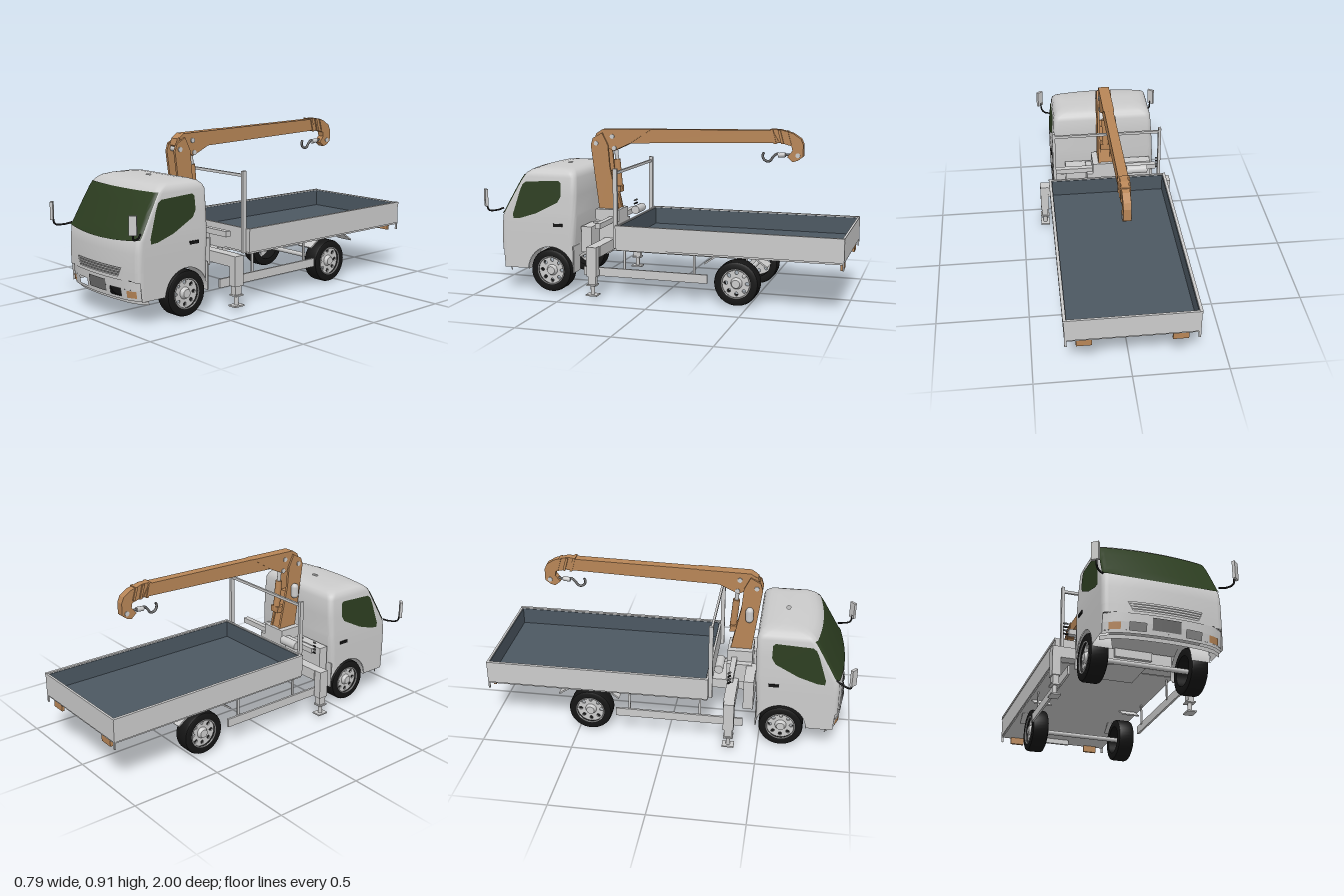
import * as THREE from 'three';
import { toCreasedNormals } from 'three/addons/utils/BufferGeometryUtils.js';

const paint = (color) => new THREE.MeshStandardMaterial({ color, side: THREE.DoubleSide });
const grey = paint(0xcccccc), glass = paint(0x2c3d20), orange = paint(0xb88657);
const black = paint(0x151515), slate = paint(0x4c5862), dark = paint(0x6a6a6a);

export function createModel() {
  const root = new THREE.Group();
  const add = (name, geo, mat = grey, parent = root) => {
    const m = new THREE.Mesh(geo, mat);
    m.name = name;
    parent.add(m);
    return m;
  };
  // box given by its extents
  const box = (name, x0, x1, y0, y1, z0, z1, mat) =>
    add(name, new THREE.BoxGeometry(x1 - x0, y1 - y0, z1 - z0)
      .translate((x0 + x1) / 2, (y0 + y1) / 2, (z0 + z1) / 2), mat);
  const pair = (f) => [-1, 1].forEach(f);
  const boxes = (name, x0, x1, y0, y1, z0, z1, mat) =>
    pair((s) => box(name, Math.min(s * x0, s * x1), Math.max(s * x0, s * x1), y0, y1, z0, z1, mat));
  // side outline (z, y) extruded across x
  const plate = (name, pts, x0, x1, mat) => add(name,
    new THREE.ExtrudeGeometry(new THREE.Shape(pts.map((p) => new THREE.Vector2(...p))),
      { depth: x1 - x0, bevelEnabled: false }).rotateY(-Math.PI / 2).translate(x1, 0, 0), mat);
  const tube = (name, pts, r, mat, n = 20) => add(name, new THREE.TubeGeometry(
    new THREE.CatmullRomCurve3(pts.map((p) => new THREE.Vector3(...p))), n, r, 8), mat);
  const rod = (name, a, b, r, mat) => {
    const A = new THREE.Vector3(...a), B = new THREE.Vector3(...b), d = B.clone().sub(A);
    const m = add(name, new THREE.CylinderGeometry(r, r, d.length(), 16), mat);
    m.position.copy(A).add(B).multiplyScalar(0.5);
    m.quaternion.setFromUnitVectors(new THREE.Vector3(0, 1, 0), d.normalize());
    return m;
  };
  // surface through rows of points
  const loft = (rows, closed) => {
    const n = rows[0].length, idx = [];
    for (let j = 0; j < rows.length - 1; j++) {
      for (let i = 0; i < (closed ? n : n - 1); i++) {
        const a = j * n + i, b = j * n + (i + 1) % n;
        idx.push(a, b, b + n, a, b + n, a + n);
      }
    }
    const g = new THREE.BufferGeometry();
    g.setAttribute('position', new THREE.Float32BufferAttribute(rows.flat(2), 3));
    g.setIndex(idx);
    return toCreasedNormals(g, 0.7);
  };

  // cab sections: height, half width, front z, back z, corner radius
  const sections = [
    [0.27, 0.305, 0.945, 0.482, 0.03], [0.36, 0.305, 0.944, 0.475, 0.03],
    [0.42, 0.303, 0.938, 0.472, 0.03], [0.44, 0.302, 0.928, 0.472, 0.03],
    [0.54, 0.295, 0.872, 0.47, 0.03], [0.64, 0.287, 0.814, 0.472, 0.03],
    [0.662, 0.28, 0.794, 0.48, 0.035], [0.677, 0.265, 0.77, 0.493, 0.04],
    [0.686, 0.24, 0.735, 0.515, 0.05], [0.691, 0.19, 0.68, 0.56, 0.05], [0.692, 0.02, 0.63, 0.61, 0.008]];
  const sectionAt = (y) => {
    let k = 0;
    while (k < sections.length - 2 && sections[k + 1][0] < y) k++;
    const a = sections[k], b = sections[k + 1], t = (y - a[0]) / (b[0] - a[0]);
    return a.map((v, i) => v + (b[i] - v) * t);
  };
  const halfRing = (y) => {
    const [, w, zf, zb, r] = sectionAt(y), bow = Math.min(0.03, w * 0.1), p = [];
    for (let i = 0; i <= 10; i++) {
      const x = (w - r) * i / 10;
      p.push([x, y, zf - bow * (x / w) ** 2]);
    }
    const zc = p[10][2] - r;
    for (let i = 1; i <= 6; i++) {
      const a = i * Math.PI / 12;
      p.push([w - r + r * Math.sin(a), y, zc + r * Math.cos(a)]);
    }
    for (let i = 1; i <= 60; i++) p.push([w, y, zc + (zb + r - zc) * i / 60]);
    for (let i = 1; i <= 6; i++) {
      const a = i * Math.PI / 12;
      p.push([w - r + r * Math.cos(a), y, zb + r - r * Math.sin(a)]);
    }
    p.push([0, y, zb]);
    return p;
  };
  const mirror = (p) => [...p.slice(1).reverse().map(([x, y, z]) => [-x, y, z]), ...p];
  const ring = (y) => mirror(halfRing(y)).slice(1);
  add('cabShell', loft(sections.map((s) => ring(s[0])), true));

  // skirt with wheel arch cut out by height
  const skirtLow = (z) => {
    const d = Math.abs(z - 0.62);
    if (z > 0.905) return 0.222;
    if (d < 0.135) return 0.12 + Math.sqrt(0.135 ** 2 - d * d);
    return z > 0.62 ? 0.125 : 0.2;
  };
  const top = ring(0.27);
  add('cabSkirt', loft([top.map(([x, , z]) => [x, skirtLow(z), z]), top], true));
  box('cabFloor', -0.29, 0.29, 0.255, 0.27, 0.49, 0.9);
  pair((s) => {
    add('wheelArchLiner', new THREE.CylinderGeometry(0.135, 0.135, 0.1, 24, 1, true, 0, Math.PI)
      .rotateZ(Math.PI / 2).translate(s * 0.253, 0.12, 0.62));
    add('mudFlap', new THREE.BoxGeometry(0.09, 0.15, 0.006)).position.set(s * 0.26, 0.19, 0.483);
  });

  // windscreen and side windows follow the cab surface
  const screen = [];
  for (let i = 0; i <= 8; i++) {
    screen.push(mirror(halfRing(0.413 + 0.235 * i / 8).slice(0, 15).map(([x, y, z]) =>
      [x * 1.008, y + (i < 1 ? 0.018 * (x / 0.3) ** 2 : 0), z + 0.004])));
  }
  add('windscreen', loft(screen), glass);
  const pane = [[0.84, 0.405], [0.843, 0.43], [0.8, 0.565], [0.785, 0.598], [0.765, 0.613], [0.57, 0.623],
    [0.557, 0.61], [0.555, 0.54], [0.575, 0.505], [0.7, 0.44], [0.8, 0.408]];
  pair((s) => {
    const g = new THREE.ShapeGeometry(new THREE.Shape(pane.map((p) => new THREE.Vector2(...p))));
    const p = g.attributes.position;
    for (let i = 0; i < p.count; i++) {
      const z = p.getX(i), y = p.getY(i);
      p.setXYZ(i, s * (sectionAt(y)[1] + 0.003), y, z);
    }
    g.computeVertexNormals();
    add('sideWindow', g, glass);
    add('doorHandle', new THREE.BoxGeometry(0.008, 0.016, 0.055), black).position.set(s * 0.306, 0.378, 0.572);
  });

  // front trim: patches bent along the nose
  const noseZ = (x) => 0.951 - 0.03 * (x / 0.3) ** 2 - 0.03 * (x / 0.3) ** 8;
  const patch = (name, x0, x1, y0, y1, off = 0, mat = grey, x2 = x0, x3 = x1) => {
    const rows = [[y0, x0, x1], [y1, x2, x3]].map(([y, a, b]) => Array.from({ length: 17 }, (_, i) => {
      const x = a + (b - a) * i / 16;
      return [x, y, noseZ(x) + off - Math.max(0, 0.2 - y) * 0.15];
    }));
    add(name, loft(rows), mat);
  };
  patch('bumperTop', -0.303, 0.303, 0.18, 0.225);
  patch('bumperBottom', -0.303, 0.303, 0.125, 0.14, 0, grey);
  patch('bumperCentre', -0.1, 0.1, 0.14, 0.18);
  patch('bumperLip', -0.303, 0.303, 0.105, 0.125, -0.02);
  patch('numberPlate', -0.072, 0.072, 0.148, 0.21, 0.004, dark);
  patch('grilleBack', -0.165, 0.165, 0.236, 0.286, -0.003, dark, -0.19, 0.19);
  for (let i = 0; i < 4; i++) {
    const w = 0.167 + i * 0.006, y = 0.238 + i * 0.013;
    patch('grilleSlat', -w, w, y, y + 0.008, 0.002, grey);
  }
  pair((s) => {
    const span = (a, b) => (s > 0 ? [a, b] : [-b, -a]);
    patch('bumperSide', ...span(0.18, 0.303), 0.14, 0.18);
    patch('foglamp', ...span(0.222, 0.275), 0.14, 0.175, 0.004, orange);
    patch('bumperSeam', ...span(0.24, 0.303), 0.224, 0.229, 0.003, black);
    // mirrors: the right one hangs lower
    const dy = s > 0 ? 0.025 : 0, dx = s > 0 ? -0.008 : 0;
    tube('mirrorArm', [[s * 0.3, 0.435 + dy, 0.9], [s * 0.325, 0.425 + dy, 0.93],
      [s * (0.352 + dx), 0.427 + dy, 0.97], [s * (0.357 + dx), 0.47 + dy, 0.98]], 0.005, black);
    const m = add('mirror', new THREE.BoxGeometry(0.038, 0.095, 0.015));
    m.position.set(s * (0.362 + dx), 0.498 + dy, 0.98);
    m.rotation.y = s * 0.7;
  });

  // wheels
  const v2 = (a) => a.map((p) => new THREE.Vector2(...p));
  const tyre = toCreasedNormals(new THREE.LatheGeometry(v2([[0.078, -0.045], [0.105, -0.047], [0.116, -0.042],
    [0.12, -0.032], [0.12, 0.032], [0.116, 0.042], [0.105, 0.047], [0.078, 0.045], [0.078, -0.045]]), 40), 0.6);
  const disc = new THREE.Shape().absarc(0, 0, 0.079, 0, Math.PI * 2);
  for (let i = 0; i < 8; i++) {
    const a = i * Math.PI / 4;
    disc.holes.push(new THREE.Path().absellipse(0.058 * Math.cos(a), 0.058 * Math.sin(a), 0.011, 0.009, 0, Math.PI * 2, true, a));
  }
  const rim = new THREE.ExtrudeGeometry(disc, { depth: 0.008, bevelEnabled: false, curveSegments: 20 });
  [[0.62, 0.258], [-0.435, 0.258]].forEach(([z, x]) => {
    pair((s) => {
      const w = new THREE.Group();
      w.name = 'wheel';
      w.position.set(s * x, 0.12, z);
      w.rotation.y = s * Math.PI / 2;
      add('tyre', tyre.clone().rotateX(Math.PI / 2), black, w);
      add('rim', rim.clone().translate(0, 0, 0.02), grey, w);
      add('rimLip', new THREE.TorusGeometry(0.077, 0.004, 8, 40).translate(0, 0, 0.044), grey, w);
      add('hub', new THREE.CylinderGeometry(0.022, 0.034, 0.025, 20).rotateX(Math.PI / 2).translate(0, 0, 0.035), grey, w);
      root.add(w);
    });
    rod('axle', [-0.25, 0.12, z], [0.25, 0.12, z], 0.013);
  });

  // cargo bed with coloured lining
  box('bedBase', -0.33, 0.33, 0.265, 0.295, -0.995, 0.22);
  box('bedFloor', -0.325, 0.325, 0.295, 0.3, -0.99, 0.215, slate);
  boxes('bedSide', 0.325, 0.337, 0.275, 0.4, -1, 0.225);
  boxes('bedSideLining', 0.322, 0.3255, 0.3, 0.395, -0.988, 0.213, slate);
  boxes('bedSideRail', 0.325, 0.341, 0.388, 0.402, -1, 0.225);
  [[-1, -0.988, -0.985], [0.213, 0.225, 0.21]].forEach(([a, b, c]) => {
    box('bedEnd', -0.33, 0.33, 0.275, 0.4, a, b);
    box('bedEndLining', -0.324, 0.324, 0.3, 0.395, Math.min(c, b), Math.max(c, a + 0.001), slate);
  });
  boxes('tailLamp', 0.2, 0.28, 0.225, 0.265, -0.99, -0.975, orange);
  box('rearPlate', -0.08, 0.08, 0.235, 0.265, -0.93, -0.915);
  boxes('bedHinge', 0.325, 0.337, 0.235, 0.28, -1, -0.992);

  // headboard frame
  pair((s) => plate('headboardPost', [[0.222, 0.27], [0.245, 0.27], [0.245, 0.705], [0.222, 0.705]], -0.008, 0.008)
    .position.set(s * 0.303, 0, 0));
  box('headboardBar', -0.3, 0.3, 0.673, 0.688, 0.228, 0.24);

  // side guards and rear mudguards
  boxes('sideGuard', 0.31, 0.322, 0.115, 0.162, -0.285, 0.415);
  [0.18, -0.21].forEach((z) => boxes('guardHanger', 0.305, 0.313, 0.15, 0.275, z - 0.006, z + 0.006));
  [-1, 1].forEach((d) => pair((s) => {
    const m = add('mudguardStay', new THREE.BoxGeometry(0.1, 0.008, 0.08));
    m.position.set(s * 0.265, 0.244, -0.435 + d * 0.135);
    m.rotation.x = d * 0.6;
  }));

  // crane base and outriggers
  box('chassisSpine', -0.1, 0.1, 0.21, 0.265, 0.2, 0.5);
  box('outriggerBeam', -0.345, 0.345, 0.225, 0.285, 0.31, 0.37);
  box('craneBase', -0.11, 0.11, 0.265, 0.375, 0.3, 0.44);
  box('turntable', -0.075, 0.075, 0.36, 0.44, 0.3, 0.44);
  box('valveBox', -0.28, -0.08, 0.2, 0.37, 0.41, 0.465);
  box('batteryBox', 0.07, 0.23, 0.22, 0.365, 0.405, 0.465);
  box('controlRail', -0.3, 0.3, 0.37, 0.4, 0.325, 0.355);
  rod('oilTank', [-0.24, 0.41, 0.27], [-0.12, 0.41, 0.27], 0.024);
  for (let i = 0; i < 4; i++) {
    rod('controlLever', [-0.3, 0.375 + i * 0.02, 0.34], [-0.325, 0.38 + i * 0.02, 0.33], 0.005, i % 2 ? dark : black);
  }
  boxes('outriggerLeg', 0.345, 0.39, 0.125, 0.285, 0.315, 0.372);
  boxes('outriggerInner', 0.352, 0.384, 0.075, 0.13, 0.322, 0.366);
  pair((s) => {
    rod('outriggerRam', [s * 0.368, 0.02, 0.344], [s * 0.368, 0.08, 0.344], 0.012);
    box('outriggerCollar', s * 0.368 - 0.025, s * 0.368 + 0.025, 0.072, 0.08, 0.318, 0.37);
    box('outriggerFoot', s * 0.368 - 0.026, s * 0.368 + 0.026, 0.016, 0.024, 0.312, 0.376);
  });

  // crane column, boom and lift ram
  const column = [[0.314, 0.44], [0.43, 0.44], [0.478, 0.8], [0.465, 0.84], [0.41, 0.87], [0.375, 0.8], [0.365, 0.68]];
  pair((s) => plate('columnCheek', column, s * 0.034 - 0.007, s * 0.034 + 0.007, orange));
  plate('columnWeb', [[0.32, 0.44], [0.425, 0.44], [0.452, 0.65], [0.375, 0.65]], -0.03, 0.03, orange);
  plate('boom', [[0.46, 0.83], [0.45, 0.865], [0.41, 0.888], [0.25, 0.893], [-0.56, 0.908], [-0.6, 0.842],
    [0.25, 0.814], [0.345, 0.77], [0.4, 0.79]], -0.025, 0.025, orange);
  plate('boomCheek', [[0.44, 0.87], [0.41, 0.89], [0.12, 0.896], [0.25, 0.812], [0.345, 0.768], [0.39, 0.79]], -0.03, 0.03, orange);
  plate('boomHead', [[-0.55, 0.913], [-0.6, 0.913], [-0.67, 0.894], [-0.715, 0.865], [-0.728, 0.835], [-0.728, 0.77],
    [-0.7, 0.748], [-0.673, 0.74], [-0.642, 0.766], [-0.67, 0.8], [-0.665, 0.825], [-0.61, 0.84], [-0.57, 0.838]],
  -0.02, 0.02, orange);
  [-0.55, -0.59, -0.63].forEach((z, i) => plate('boomCollar', [[z, 0.914 - i * 0.004], [z - 0.014, 0.913 - i * 0.004],
    [z - 0.034, 0.836], [z - 0.02, 0.836]], -0.03 + i * 0.002, 0.03 - i * 0.002, orange));
  rod('liftRam', [0, 0.55, 0.32], [0, 0.72, 0.335], 0.019, orange);
  rod('liftRamRod', [0, 0.7, 0.333], [0, 0.8, 0.342], 0.011);
  box('ramBracket', -0.03, 0.03, 0.535, 0.57, 0.305, 0.37, orange);
  [[0.445, 0.81, 0.046], [0.352, 0.85, 0.036], [0.34, 0.785, 0.034], [-0.7, 0.775, 0.024]].forEach(([z, y, x]) =>
    rod('pivotPin', [-x, y, z], [x, y, z], 0.013));
  add('winchMotor', new THREE.CapsuleGeometry(0.022, 0.045, 6, 16)).position.set(-0.052, 0.655, 0.412);

  // hook
  tube('hook', [[0, 0.778, -0.66], [0, 0.775, -0.61], [0, 0.78, -0.585], [0, 0.762, -0.562], [0, 0.742, -0.548],
    [0, 0.738, -0.53], [0, 0.748, -0.512], [0, 0.77, -0.505], [0, 0.785, -0.512]], 0.007, dark, 40);
  rod('hookSwivel', [0, 0.772, -0.59], [0, 0.776, -0.63], 0.013);
  return root;
}
